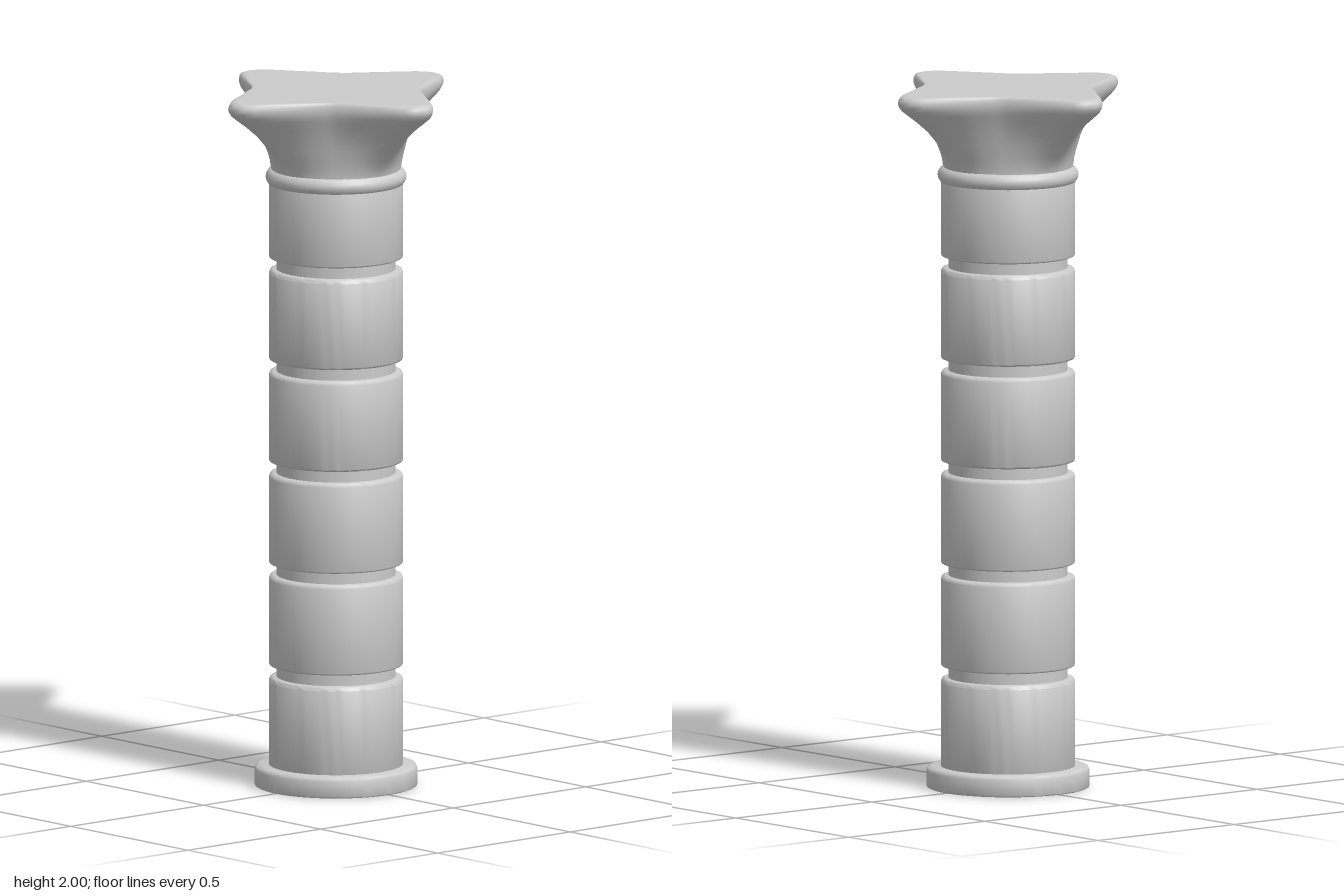
import * as THREE from 'three';
import { toCreasedNormals } from 'three/addons/utils/BufferGeometryUtils.js';

const SEGMENTS = 64;

export function createModel() {
  const group = new THREE.Group();
  const material = new THREE.MeshStandardMaterial({ color: 0xcccccc });

  function add(name, geometry) {
    const mesh = new THREE.Mesh(geometry, material);
    mesh.name = name;
    group.add(mesh);
    return mesh;
  }

  // Solid of revolution with a rounded top edge and an optional rounded bottom edge
  function drum(name, radius, y0, y1, top, bottom) {
    const pts = [[0, y0], [radius - bottom, y0], [radius - bottom * 0.3, y0 + bottom * 0.3],
      [radius, y0 + bottom], [radius, y1 - top], [radius - top * 0.3, y1 - top * 0.3],
      [radius - top, y1], [0, y1]].map(([x, y]) => new THREE.Vector2(x, y));
    return add(name, toCreasedNormals(new THREE.LatheGeometry(pts, SEGMENTS), 0.85));
  }

  // Round foot
  drum('base', 0.23, 0, 0.06, 0.012, 0.003);

  // Narrow core seen in the grooves
  const core = add('core', new THREE.CylinderGeometry(0.168, 0.168, 1.72, SEGMENTS));
  core.position.y = 0.9;

  // Six stacked drums
  const pitch = 0.2925;
  for (let i = 0; i < 6; i++) {
    const y0 = i === 0 ? 0.05 : 0.053 + i * pitch;
    const y1 = i === 5 ? 1.76 : 0.312 + i * pitch;
    drum('drum' + (i + 1), 0.19, y0, y1, 0.012, 0.005);
  }

  // Collar ring under the capital
  const collar = add('collar', new THREE.TorusGeometry(0.173, 0.026, 16, SEGMENTS));
  collar.rotation.x = Math.PI / 2;
  collar.position.y = 1.747;

  add('capital', capitalGeometry());
  return group;
}

// Capital: a circle that flares into a four-pointed star with rounded tips
function capitalGeometry() {
  // One quarter of the star, from the +x tip towards the +z tip
  const quarter = [[0.389, 0], [0.38, 0.03], [0.355, 0.053], [0.318, 0.077], [0.28, 0.1],
    [0.233, 0.13], [0.187, 0.157], [0.172, 0.172], [0.157, 0.187], [0.13, 0.233],
    [0.1, 0.28], [0.077, 0.318], [0.053, 0.355], [0.03, 0.38]];
  const outline = [];
  for (let q = 0; q < 4; q++) {
    for (const [x, z] of quarter) {
      const a = q * Math.PI / 2;
      const c = Math.round(Math.cos(a)), s = Math.round(Math.sin(a));
      outline.push([x * c - z * s, x * s + z * c]);
    }
  }

  // Height and amount of flare, from the neck up over the rim
  const rows = [[1.75, 0], [1.77, 0.01], [1.795, 0.07], [1.82, 0.165], [1.855, 0.31],
    [1.89, 0.48], [1.92, 0.67], [1.945, 0.85], [1.958, 0.94], [1.97, 0.985], [1.98, 1],
    [1.99, 0.985], [1.997, 0.95], [2, 0.9], [2, 0.82]];
  const n = outline.length;
  const neck = 0.183;
  const positions = [];
  const index = [];
  rows.forEach(([y, t], r) => {
    outline.forEach(([x, z], i) => {
      const len = Math.hypot(x, z);
      const k = (neck + (len - neck) * t) / len;
      positions.push(x * k, y, z * k);
      if (r === 0) return;
      const j = (i + 1) % n;
      const a = (r - 1) * n + i, b = (r - 1) * n + j;
      const c = r * n + i, d = r * n + j;
      index.push(a, c, b, b, c, d);
    });
  });

  // Flat top
  const last = (rows.length - 1) * n;
  const centre = rows.length * n;
  positions.push(0, 2, 0);
  for (let i = 0; i < n; i++) index.push(last + i, centre, last + (i + 1) % n);

  const geometry = new THREE.BufferGeometry();
  geometry.setAttribute('position', new THREE.Float32BufferAttribute(positions, 3));
  geometry.setIndex(index);
  geometry.computeVertexNormals();
  return geometry;
}
